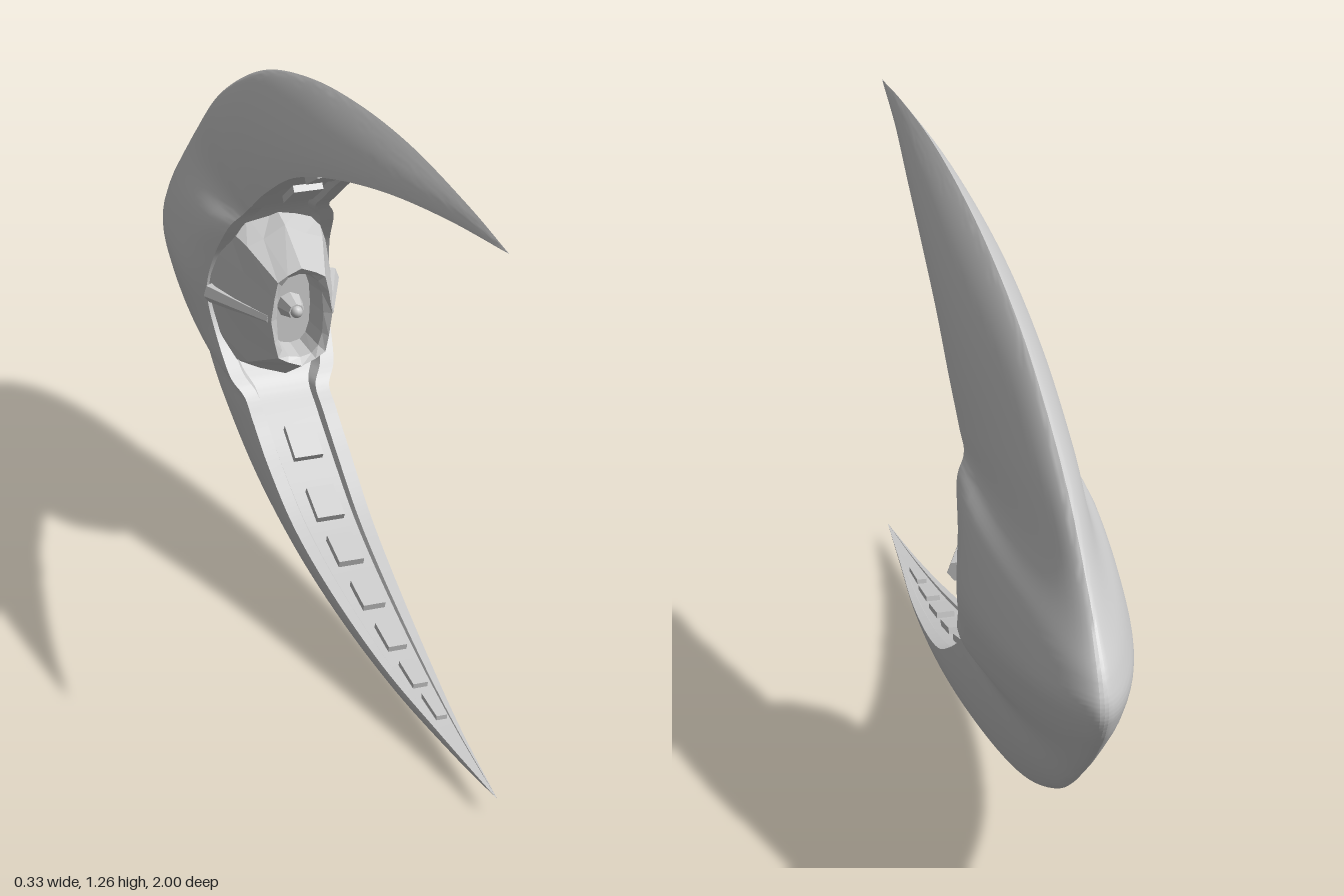
import * as THREE from 'three';
import { toCreasedNormals } from 'three/addons/utils/BufferGeometryUtils.js';

const MID = 0.628; // height of the mirror plane between the two arms

// Stations from the upper tip to the middle:
// outer z, outer y, inner z, inner y, half width, roundness of the outer edge
const HALF = [
  [1, 1.215, 1, 1.215, 0.0005, 1],
  [0.8, 1.238, 0.75, 1.195, 0.024, 1],
  [0.5, 1.256, 0.5, 1.163, 0.052, 1],
  [0.2, 1.245, 0.25, 1.107, 0.075, 0.95],
  [-0.1, 1.205, 0.05, 1.04, 0.09, 0.9],
  [-0.4, 1.125, -0.1, 0.955, 0.098, 0.8],
  [-0.68, 0.985, -0.2, 0.885, 0.1, 0.7],
  [-0.86, 0.835, -0.255, 0.845, 0.103, 0.65],
  [-0.955, 0.725, -0.29, 0.8, 0.138, 0.6],
  [-0.99, 0.668, -0.35, 0.715, 0.157, 0.6],
];
const STATIONS = [
  ...HALF,
  [-1, MID, -0.375, MID, 0.167, 0.6],
  ...HALF.slice().reverse().map(([oz, oy, iz, iy, w, q]) => [oz, 2 * MID - oy, iz, 2 * MID - iy, w, q]),
];
const curve = (f) => new THREE.CatmullRomCurve3(STATIONS.map(f), false, 'catmullrom', 0.5);
const outer = curve((s) => new THREE.Vector3(0, s[1], s[0]));
const inner = curve((s) => new THREE.Vector3(0, s[3], s[2]));
const size = curve((s) => new THREE.Vector3(s[4], s[5], 0));

// Skin a list of closed rings that all have the same number of points
function loft(rings) {
  const n = rings[0].length;
  const index = [];
  for (let i = 0; i < rings.length - 1; i++) {
    for (let j = 0; j < n; j++) {
      const a = i * n + j, b = i * n + ((j + 1) % n);
      index.push(a, a + n, b, b, a + n, b + n);
    }
  }
  const geo = new THREE.BufferGeometry().setFromPoints(rings.flat());
  geo.setIndex(index);
  geo.computeVertexNormals();
  return geo;
}

// Closed cross-section of the hull: shallow channel inside, curved flanks outside
function hullRing(t) {
  const o = outer.getPoint(t), i = inner.getPoint(t);
  const { x: w, y: q } = size.getPoint(t);
  const bulge = THREE.MathUtils.smoothstep(w, 0.1, 0.16);
  const at = (x, s) => i.clone().lerp(o, s).setX(x);
  const side = [at(w * 0.62, 0.05), at(w * 0.68, 0)];
  const steps = 18;
  for (let k = 0; k < steps; k++) {
    const s = Math.sin((k / steps) * Math.PI / 2);
    const taper = 1 - 0.12 * bulge * Math.max(0, 1 - s / 0.2) ** 2;
    side.push(at(w * taper * (1 - s ** (2.6 - q)) ** q, s));
  }
  const mirrored = side.map((p) => p.clone().setX(-p.x)).reverse();
  return [at(0, 0.05), ...side, at(0, 1), ...mirrored];
}

// Faceted ring of the nozzle, with every other corner pulled in
function nozzleRing(rx, ry, z, groove = 1) {
  return Array.from({ length: 16 }, (_, k) => {
    const a = (-k / 16) * Math.PI * 2;
    const c = Math.cos(a), s = Math.sin(a), g = k % 2 ? groove : 1;
    const soft = (v) => Math.sign(v) * Math.abs(v) ** 0.75;
    return new THREE.Vector3(rx * g * soft(c), MID + ry * g * soft(s), z);
  });
}

export function createModel() {
  const group = new THREE.Group();
  const smooth = new THREE.MeshStandardMaterial({ color: 0xcccccc });
  const faceted = new THREE.MeshStandardMaterial({ color: 0xcccccc, flatShading: true });
  const add = (name, geo, mat, parent = group) => {
    const mesh = new THREE.Mesh(geo, mat);
    mesh.name = name;
    parent.add(mesh);
    return mesh;
  };

  // Crescent hull with its central swelling
  const count = 160;
  const rings = Array.from({ length: count + 1 }, (_, k) => hullRing(k / count));
  add('crescentHull', toCreasedNormals(loft(rings), 0.6), smooth);

  // Raised panels along the inside of both arms
  const panels = new THREE.Group();
  panels.name = 'innerPanels';
  group.add(panels);
  for (const z of [-0.14, 0, 0.13, 0.27, 0.41, 0.54, 0.66]) {
    let t = 0; // walk down the upper arm to this depth
    while (inner.getPoint(t).z > z) t += 0.001;
    for (const u of [t, 1 - t]) {
      const w = size.getPoint(u).x;
      const panel = add('panel', new THREE.BoxGeometry(w * 0.68, 0.016, 0.085), smooth, panels);
      const p = inner.getPoint(u);
      panel.position.copy(p);
      panel.lookAt(p.clone().add(inner.getTangent(u)));
    }
  }

  // Nozzle set into the mouth, with a hollow front
  const nozzle = new THREE.Group();
  nozzle.name = 'nozzle';
  group.add(nozzle);
  add('nozzleShell', loft([
    nozzleRing(0.145, 0.215, -0.42),
    nozzleRing(0.14, 0.205, -0.34, 0.95),
    nozzleRing(0.115, 0.18, -0.26, 0.9),
    nozzleRing(0.072, 0.117, -0.15, 0.94),
    nozzleRing(0.055, 0.1, -0.162),
    nozzleRing(0.048, 0.092, -0.23),
    nozzleRing(0.0001, 0.0001, -0.23),
  ]), faceted);

  // Small core at the bottom of the hollow
  const core = add('nozzleCore', new THREE.CylinderGeometry(0.018, 0.032, 0.05, 8), faceted, nozzle);
  core.rotation.x = Math.PI / 2;
  core.position.set(0, MID, -0.21);
  const tip = add('coreTip', new THREE.SphereGeometry(0.014, 12, 8), smooth, nozzle);
  tip.position.set(0, MID, -0.185);

  // Tapered ribs on both flanks of the nozzle
  for (const side of [-1, 1]) {
    const from = new THREE.Vector3(side * 0.14, MID, -0.36);
    const to = new THREE.Vector3(side * 0.068, MID, -0.165);
    const dir = to.clone().sub(from);
    const rib = add('flankRib', new THREE.CylinderGeometry(0.012, 0.024, dir.length(), 6), faceted, nozzle);
    rib.position.copy(from).lerp(to, 0.5);
    rib.quaternion.setFromUnitVectors(new THREE.Vector3(0, 1, 0), dir.normalize());
  }
  return group;
}
